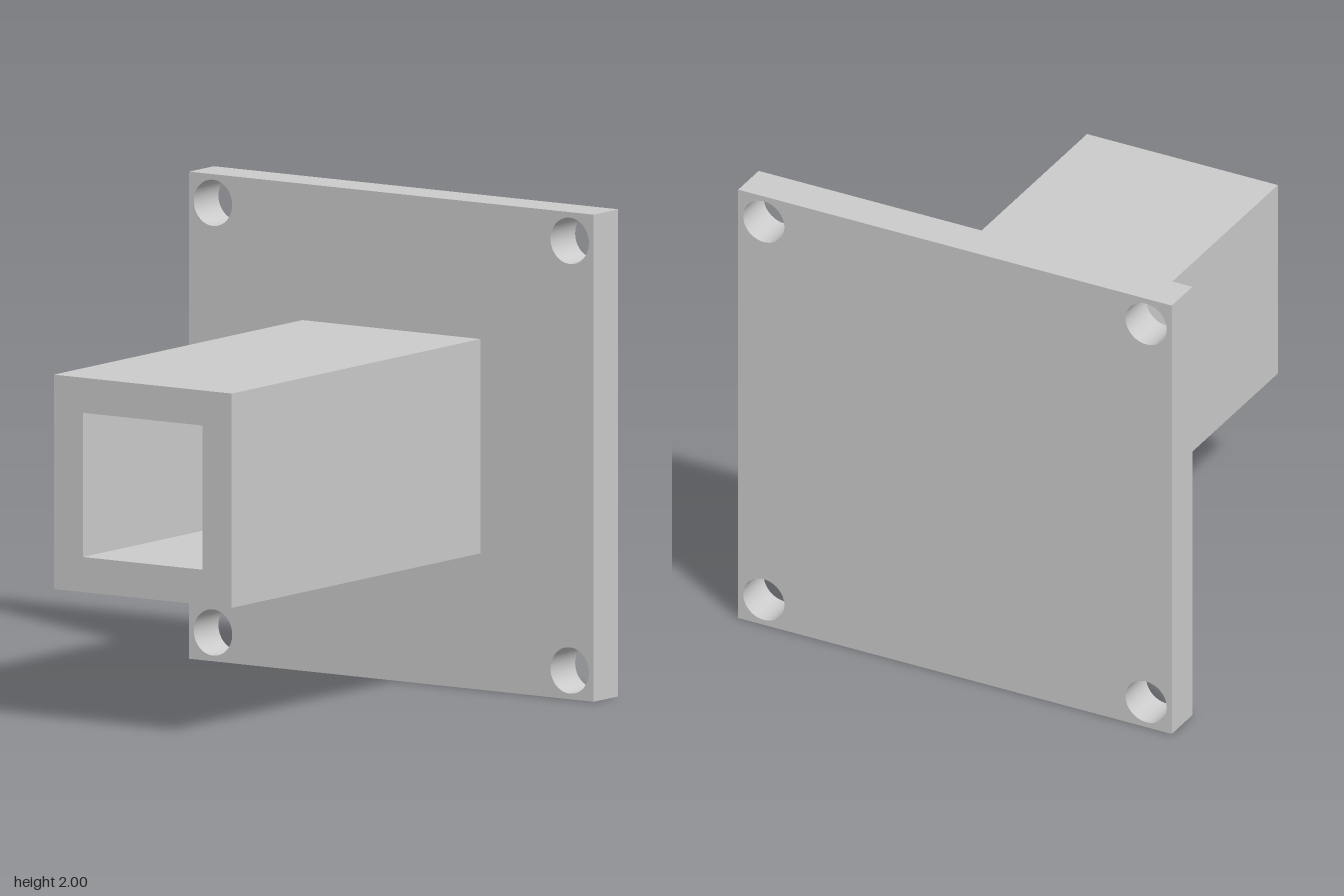
import * as THREE from 'three';
import { toCreasedNormals } from 'three/addons/utils/BufferGeometryUtils.js';

const BACK = -0.97, PLATE_FRONT = -0.795, FRONT = 0.97, CENTRE_Y = 1;

// Square outline centred on the origin, given its half width
function square(path, h) {
  path.moveTo(-h, -h);
  path.lineTo(h, -h);
  path.lineTo(h, h);
  path.lineTo(-h, h);
  path.closePath();
  return path;
}

// Extrude a shape along z between two depths
function slab(name, shape, z0, z1, material) {
  const solid = new THREE.ExtrudeGeometry(shape, { depth: z1 - z0, bevelEnabled: false, curveSegments: 24 });
  const mesh = new THREE.Mesh(toCreasedNormals(solid, Math.PI / 6), material);
  mesh.name = name;
  mesh.position.set(0, CENTRE_Y, z0);
  return mesh;
}

export function createModel() {
  const group = new THREE.Group();
  group.name = 'flangedSquareTube';
  const material = new THREE.MeshStandardMaterial({ color: 0xcccccc });

  // Mounting plate with a bolt hole in each corner
  const plate = square(new THREE.Shape(), 1);
  for (const x of [-0.882, 0.882])
    for (const y of [-0.882, 0.882])
      plate.holes.push(new THREE.Path().absarc(x, y, 0.095, 0, Math.PI * 2, true));
  group.add(slab('mountingPlate', plate, BACK, PLATE_FRONT, material));

  // Square tube, open at the front and closed by the plate
  const tube = square(new THREE.Shape(), 0.44);
  tube.holes.push(square(new THREE.Path(), 0.296));
  group.add(slab('squareTube', tube, PLATE_FRONT, FRONT, material));

  return group;
}
